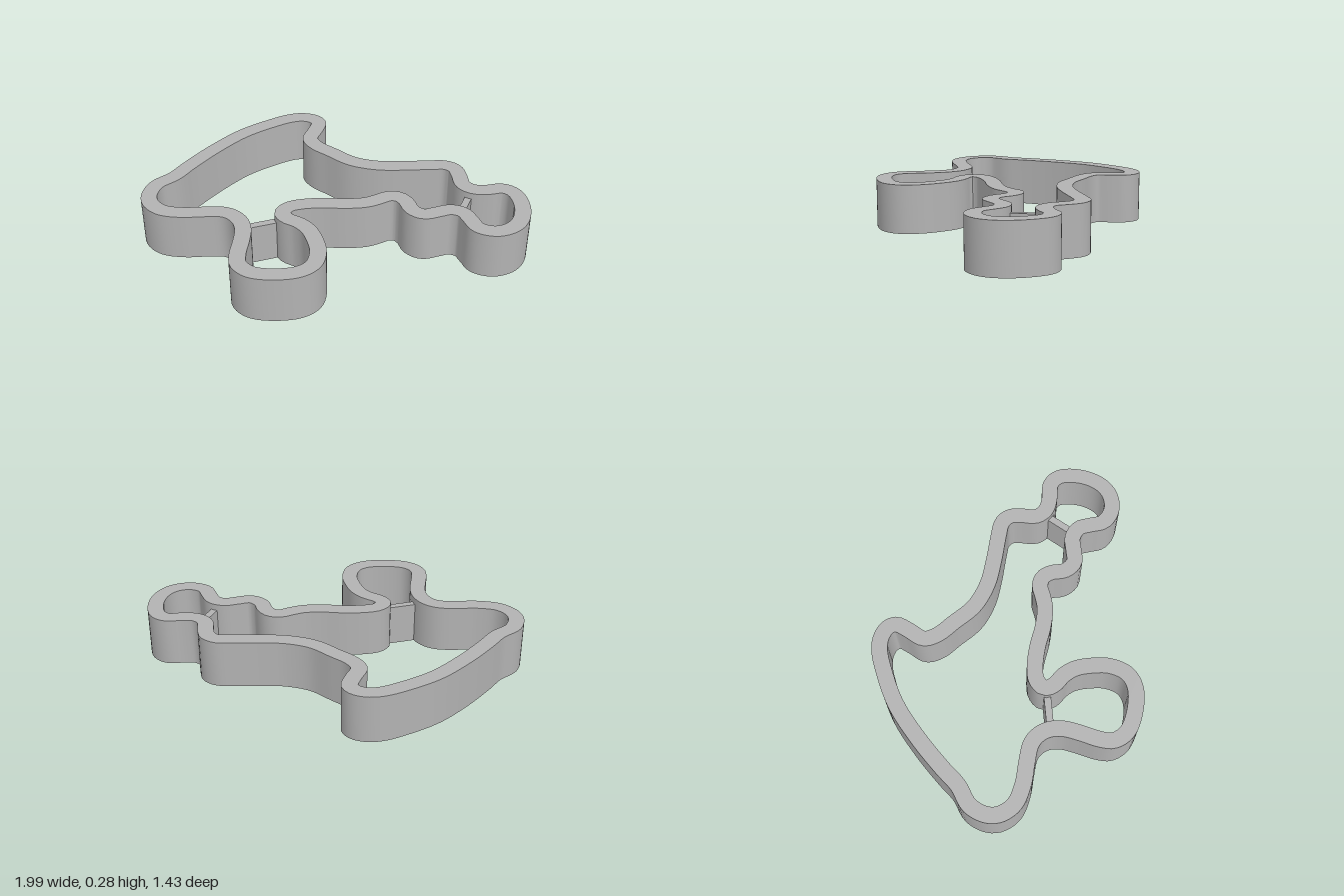
import * as THREE from 'three';
import { toCreasedNormals } from 'three/addons/utils/BufferGeometryUtils.js';

const HEIGHT = 0.26;
const HALF_WALL = 0.0415;

// Centre line of the wall as x, z pairs, seen from above
const PATH = [
  // long curved back edge and its hooked tip
  -.95, .02, -.92, -.07, -.83, -.145, -.76, -.235, -.63, -.385, -.475, -.53,
  -.315, -.625, -.21, -.67, -.14, -.677, -.08, -.655, -.055, -.615, -.075, -.545,
  -.107, -.46, -.075, -.395, .005, -.325, .115, -.235, .245, -.19, .38, -.18,
  .54, -.18, .61, -.175, .655, -.14, .67, -.08, .68, 0,
  // small loop on the left end
  .725, .043, .80, .053, .88, .045, .935, .085, .957, .2, .93, .31, .875, .37,
  .79, .393, .71, .36, .68, .295, .65, .235,
  // wavy front edge
  .59, .21, .525, .225, .45, .24, .395, .2, .37, .13, .335, .09, .285, .083,
  .235, .105, .165, .13, .06, .135, -.05, .125, -.165, .13, -.23, .15,
  // large front loop
  -.263, .195, -.24, .24, -.18, .28, -.133, .335, -.1, .43, -.09, .51,
  -.115, .6, -.18, .65, -.305, .665, -.42, .64, -.475, .58, -.48, .51,
  -.465, .41, -.458, .32, -.475, .25,
  // rounded right end
  -.515, .2, -.565, .175, -.66, .17, -.77, .17, -.875, .145, -.935, .085,
];

// Give the whole piece its slight lean
function lean(geometry) {
  const p = geometry.attributes.position;
  for (let i = 0; i < p.count; i++) {
    p.setY(i, p.getY(i) + 0.011 + 0.0065 * p.getX(i) - 0.0125 * p.getZ(i));
  }
  geometry.computeVertexNormals();
  return geometry;
}

// Offset the smooth centre line sideways to get one edge of the wall
function offsetEdge(curve, distance, count) {
  const points = [];
  for (let i = 0; i < count; i++) {
    const p = curve.getPointAt(i / count);
    const t = curve.getTangentAt(i / count);
    points.push(new THREE.Vector2(p.x + t.z * distance, p.z - t.x * distance));
  }
  return points;
}

function wallGeometry() {
  const centre = [];
  for (let i = 0; i < PATH.length; i += 2) centre.push(new THREE.Vector3(PATH[i], 0, PATH[i + 1]));
  const curve = new THREE.CatmullRomCurve3(centre, true, 'centripetal');
  curve.arcLengthDivisions = 1500;
  const shape = new THREE.Shape(offsetEdge(curve, HALF_WALL, 320));
  shape.holes.push(new THREE.Path(offsetEdge(curve, -HALF_WALL, 320)));
  const geometry = new THREE.ExtrudeGeometry(shape, { depth: HEIGHT, bevelEnabled: false });
  geometry.rotateX(Math.PI / 2).translate(0, HEIGHT, 0);
  return toCreasedNormals(lean(geometry), 0.7);
}

// Thin upright bar between two points of the wall
function barGeometry(x1, z1, x2, z2, thickness, height) {
  const geometry = new THREE.BoxGeometry(Math.hypot(x2 - x1, z2 - z1), height, thickness);
  geometry.rotateY(-Math.atan2(z2 - z1, x2 - x1));
  geometry.translate((x1 + x2) / 2, height / 2, (z1 + z2) / 2);
  return lean(geometry);
}

export function createModel() {
  const group = new THREE.Group();
  group.name = 'cookieCutter';
  const grey = new THREE.MeshStandardMaterial({ color: 0xb2b2b2 });
  grey.name = 'greyPlastic';

  const add = (name, geometry) => {
    const mesh = new THREE.Mesh(geometry, grey);
    mesh.name = name;
    group.add(mesh);
  };

  add('outlineWall', wallGeometry());
  add('largeLoopBar', barGeometry(-.45, .257, -.27, .21, .036, 0.225));
  add('smallLoopBar', barGeometry(.64, .2, .71, .05, .036, 0.225));
  return group;
}
